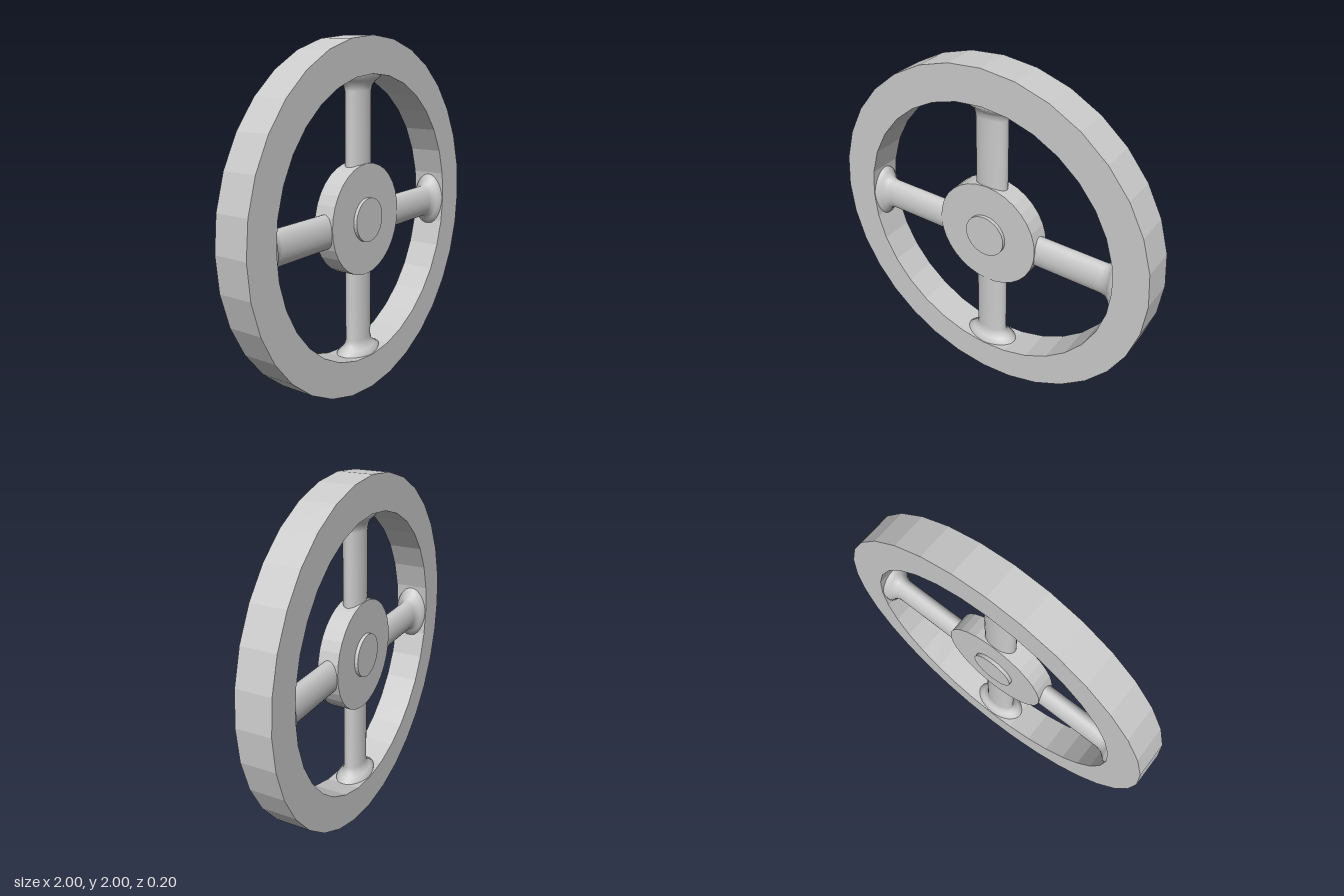
import * as THREE from 'three';

const flat = new THREE.MeshStandardMaterial({ color: 0xcccccc, flatShading: true });
const smooth = new THREE.MeshStandardMaterial({ color: 0xcccccc });
const SIDES = 32;

// Solid of revolution around y, from [radius, height] pairs
function lathe(points, sides) {
  return new THREE.LatheGeometry(points.map(([r, y]) => new THREE.Vector2(r, y)), sides);
}

export function createModel() {
  const model = new THREE.Group();
  model.name = 'spokedWheel';

  const wheel = new THREE.Group();
  wheel.name = 'wheel';
  wheel.position.y = 1;
  model.add(wheel);

  const add = (name, geometry, material) => {
    const mesh = new THREE.Mesh(geometry, material);
    mesh.name = name;
    wheel.add(mesh);
    return mesh;
  };

  // Faceted rim with a rectangular section
  const rim = lathe([[0.8, -0.1], [1, -0.1], [1, 0.1], [0.8, 0.1], [0.8, -0.1]], SIDES);
  add('rim', rim.rotateX(Math.PI / 2), flat);

  // Hub disc, with a smaller boss standing out on both faces
  add('hub', new THREE.CylinderGeometry(0.316, 0.316, 0.12, SIDES).rotateX(Math.PI / 2), flat);
  add('hubBoss', new THREE.CylinderGeometry(0.125, 0.125, 0.16, SIDES).rotateX(Math.PI / 2), flat);

  // Four oval spokes, flaring where they meet the rim
  const spoke = lathe([
    [0.096, 0.2], [0.096, 0.5], [0.096, 0.71], [0.105, 0.74],
    [0.13, 0.762], [0.163, 0.78], [0.165, 0.81],
  ], 32);
  spoke.scale(1, 1, 0.58);
  const names = ['topSpoke', 'leftSpoke', 'bottomSpoke', 'rightSpoke'];
  names.forEach((name, i) => {
    const mesh = add(name, spoke, smooth);
    mesh.rotation.z = -i * Math.PI / 2;
    // The horizontal pair sits slightly low
    if (i % 2) mesh.position.y = -0.02;
  });

  return model;
}
